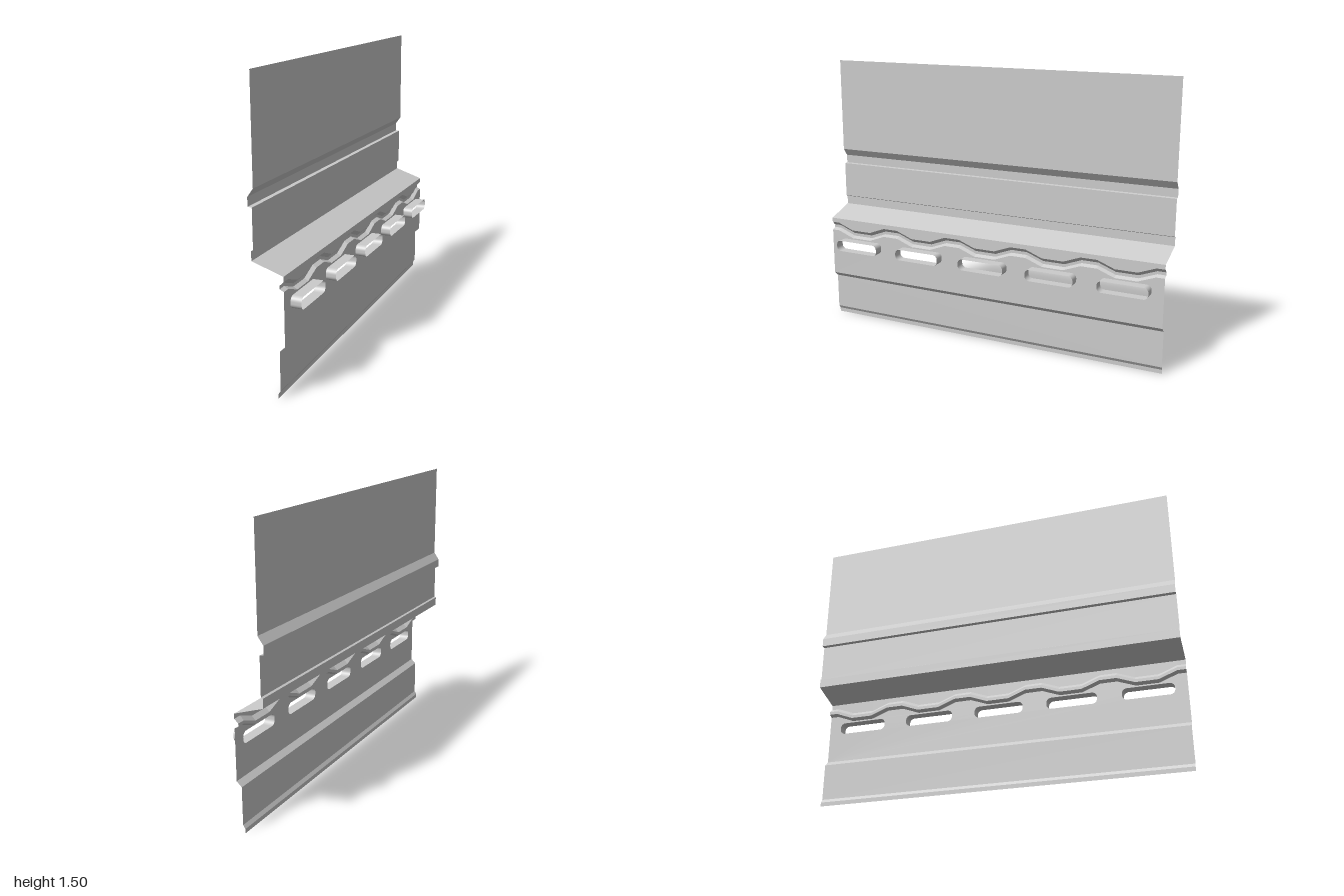
import * as THREE from 'three';

const PANEL_X = 0.057;            // plane of the slotted face
const SLOTS = [-0.8, -0.4, 0, 0.4, 0.8];
const SLOT_W = 0.27, SLOT_H = 0.062, SLOT_R = 0.026, SLOT_Y = 0.45;

// Depth of the wave at z: 0 between the slots, -0.036 above each slot
function wave(z) {
  const d = Math.min(...SLOTS.map((c) => Math.abs(z - c)));
  return -0.036 * (1 - THREE.MathUtils.clamp((d - 0.06) / 0.095, 0, 1));
}
const waveZ = [-1];
for (const c of SLOTS) waveZ.push(c - 0.155, c - 0.06, c + 0.06, c + 0.155);
waveZ.push(1);

const material = () => new THREE.MeshStandardMaterial({ color: 0xcccccc, side: THREE.DoubleSide, flatShading: true });

// Surface through a grid of points: at(i, j) returns [x, y, z]
function gridMesh(name, rows, cols, at, mat = material()) {
  const pos = [], index = [];
  for (let i = 0; i < rows; i++) for (let j = 0; j < cols; j++) pos.push(...at(i, j));
  for (let i = 0; i < rows - 1; i++) for (let j = 0; j < cols - 1; j++) {
    const a = i * cols + j, b = a + cols;
    index.push(a, b, a + 1, a + 1, b, b + 1);
  }
  const geo = new THREE.BufferGeometry();
  geo.setAttribute('position', new THREE.Float32BufferAttribute(pos, 3));
  geo.setIndex(index);
  geo.computeVertexNormals();
  const mesh = new THREE.Mesh(geo, mat);
  mesh.name = name;
  return mesh;
}

// Profile rows [x, y, waviness] from top to bottom, swept along z
function strip(name, profile, zs = [-1, 1]) {
  return gridMesh(name, profile.length, zs.length, (i, j) => {
    const [x, y, w = 0] = profile[i];
    return [x, y + w * wave(zs[j]), zs[j]];
  });
}

// Rounded slot outline
function slotPath(cz) {
  const w = SLOT_W / 2, h = SLOT_H / 2, r = SLOT_R, p = new THREE.Path();
  p.moveTo(cz - w + r, SLOT_Y - h);
  p.lineTo(cz + w - r, SLOT_Y - h);
  p.absarc(cz + w - r, SLOT_Y - h + r, r, -Math.PI / 2, 0);
  p.lineTo(cz + w, SLOT_Y + h - r);
  p.absarc(cz + w - r, SLOT_Y + h - r, r, 0, Math.PI / 2);
  p.lineTo(cz - w + r, SLOT_Y + h);
  p.absarc(cz - w + r, SLOT_Y + h - r, r, Math.PI / 2, Math.PI);
  p.lineTo(cz - w, SLOT_Y - h + r);
  p.absarc(cz - w + r, SLOT_Y - h + r, r, Math.PI, Math.PI * 1.5);
  return p;
}

export function createModel() {
  const group = new THREE.Group();
  group.name = 'profiledStrip';

  // Tall upper flange, stepped bead, recessed band and sloping ledge
  group.add(strip('upperFlange', [[-0.083, 1.505], [-0.083, 0.985], [-0.112, 0.945]]));
  group.add(strip('bead', [[-0.112, 0.945], [-0.112, 0.9], [-0.091, 0.898]]));
  group.add(strip('recessedBand', [[-0.091, 0.898], [-0.091, 0.702], [-0.101, 0.697], [-0.101, 0.65]]));
  group.add(strip('ledge', [[-0.101, 0.65], [PANEL_X, 0.597]]));

  // Lip below the ledge and the wavy groove
  group.add(strip('wavyLip', [[PANEL_X, 0.597], [PANEL_X, 0.572, 1]], waveZ));
  group.add(strip('wavyGroove', [[PANEL_X, 0.572, 1], [0.036, 0.552, 1], [0.036, 0.536, 1], [PANEL_X, 0.525, 1]], waveZ));

  // Slotted panel, drawn in the (-z, y) plane and turned to face +x
  const shape = new THREE.Shape();
  shape.moveTo(-1, 0.26);
  shape.lineTo(1, 0.26);
  for (const z of waveZ) shape.lineTo(-z, 0.525 + wave(z));
  for (const c of SLOTS) shape.holes.push(slotPath(c));
  const panel = new THREE.Mesh(new THREE.ShapeGeometry(shape, 5), material());
  panel.geometry.rotateY(Math.PI / 2).translate(PANEL_X, 0, 0);
  panel.name = 'slottedPanel';
  group.add(panel);

  // Raised collars around the slots
  const smooth = material();
  smooth.flatShading = false;
  for (const c of SLOTS) {
    const pts = slotPath(c).getPoints(5);
    pts.push(pts[0].clone());
    group.add(gridMesh('slotCollar', 2, pts.length, (i, j) => [i ? 0.112 : PANEL_X, pts[j].y, pts[j].x], smooth));
  }

  // Lower flange with its two inward steps
  group.add(strip('lowerFlange', [[PANEL_X, 0.26], [0.03, 0.235], [0.03, 0.04]]));
  group.add(strip('bottomEdge', [[0.03, 0.04], [0.018, 0.022], [0.018, 0]]));

  return group;
}
